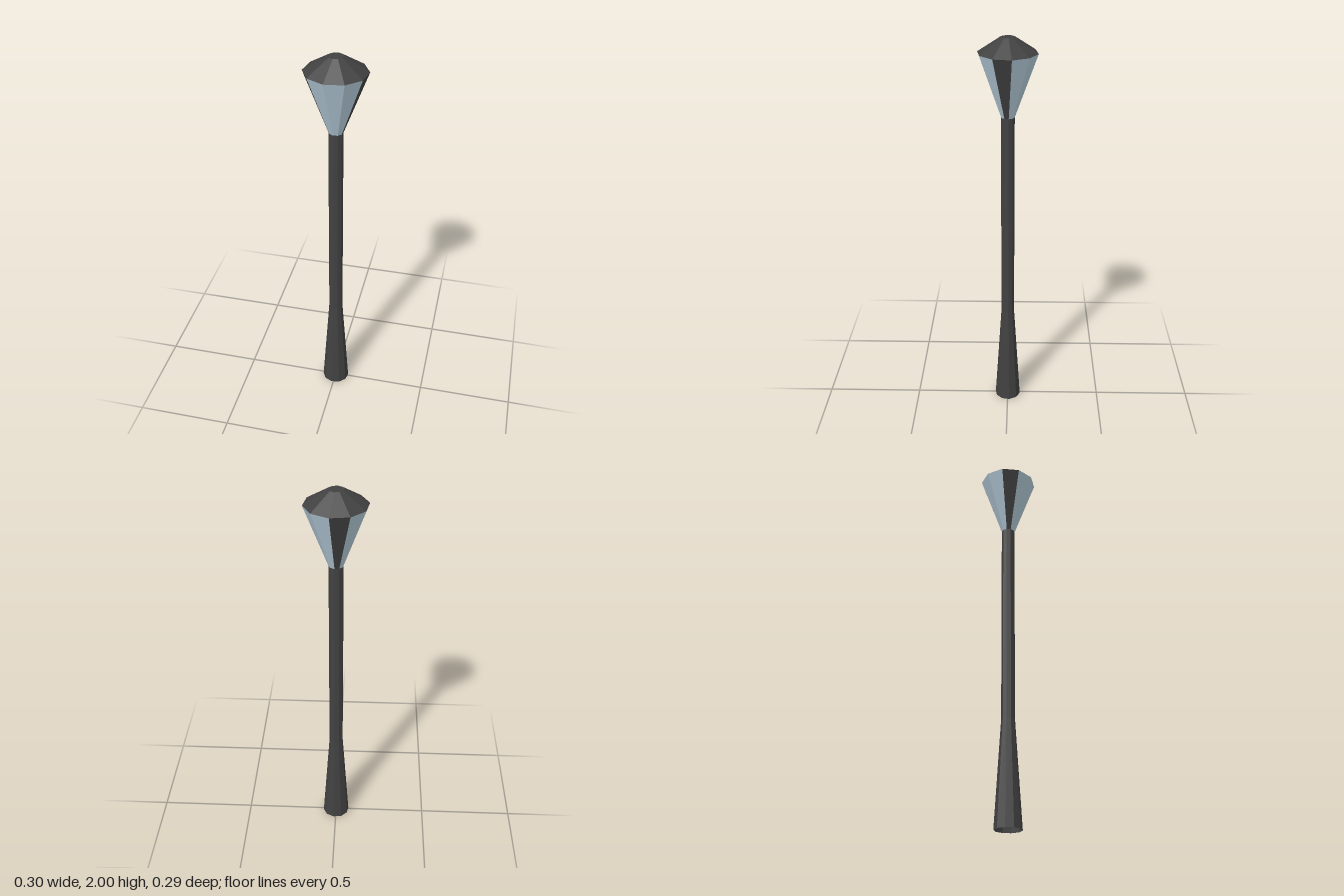
import * as THREE from 'three';

const SIDES = 10;
const STEP = (Math.PI * 2) / SIDES;
const START = THREE.MathUtils.degToRad(98.5); // turn of the ten-sided section
const SQUASH = 0.95; // slightly narrower front to back

export function createModel() {
  const group = new THREE.Group();
  group.name = 'streetLamp';

  const make = (name, hex) => {
    const m = new THREE.MeshStandardMaterial({ color: hex, flatShading: true, side: THREE.DoubleSide });
    m.name = name;
    return m;
  };
  const iron = make('dark iron', 0x414141);
  const glass = make('pale blue glass', 0xb4cad8);

  const add = (name, geometry, material) => {
    geometry.scale(1, 1, SQUASH);
    const mesh = new THREE.Mesh(geometry, material);
    mesh.name = name;
    group.add(mesh);
  };

  // Open tapered ring section between two heights, over all or some sides
  const section = (name, y0, r0, y1, r1, material, start = START, sides = SIDES) => {
    const g = new THREE.CylinderGeometry(r1, r0, y1 - y0, sides, 1, true, start, sides * STEP);
    g.translate(0, (y0 + y1) / 2, 0);
    add(name, g, material);
  };

  // Post: flared hollow foot and straight shaft
  section('foot', 0, 0.072, 0.54, 0.036, iron);
  section('shaft', 0.54, 0.036, 1.615, 0.036, iron);

  // Lantern: three iron ribs between glass panes
  const ribs = [0, 4, 7];
  for (let k = 0; k < SIDES; k++) {
    const isRib = ribs.includes(k);
    section(isRib ? 'lanternRib' : 'lanternPane', 1.615, 0.036, 1.927, 0.154,
      isRib ? iron : glass, START - (k + 1) * STEP, 1);
  }

  // Roof: sloped sides with a small flat top
  section('roof', 1.927, 0.154, 2, 0.038, iron);
  const top = new THREE.CircleGeometry(0.038, SIDES, START - Math.PI / 2);
  top.rotateX(-Math.PI / 2);
  top.translate(0, 2, 0);
  add('roofTop', top, iron);

  return group;
}
